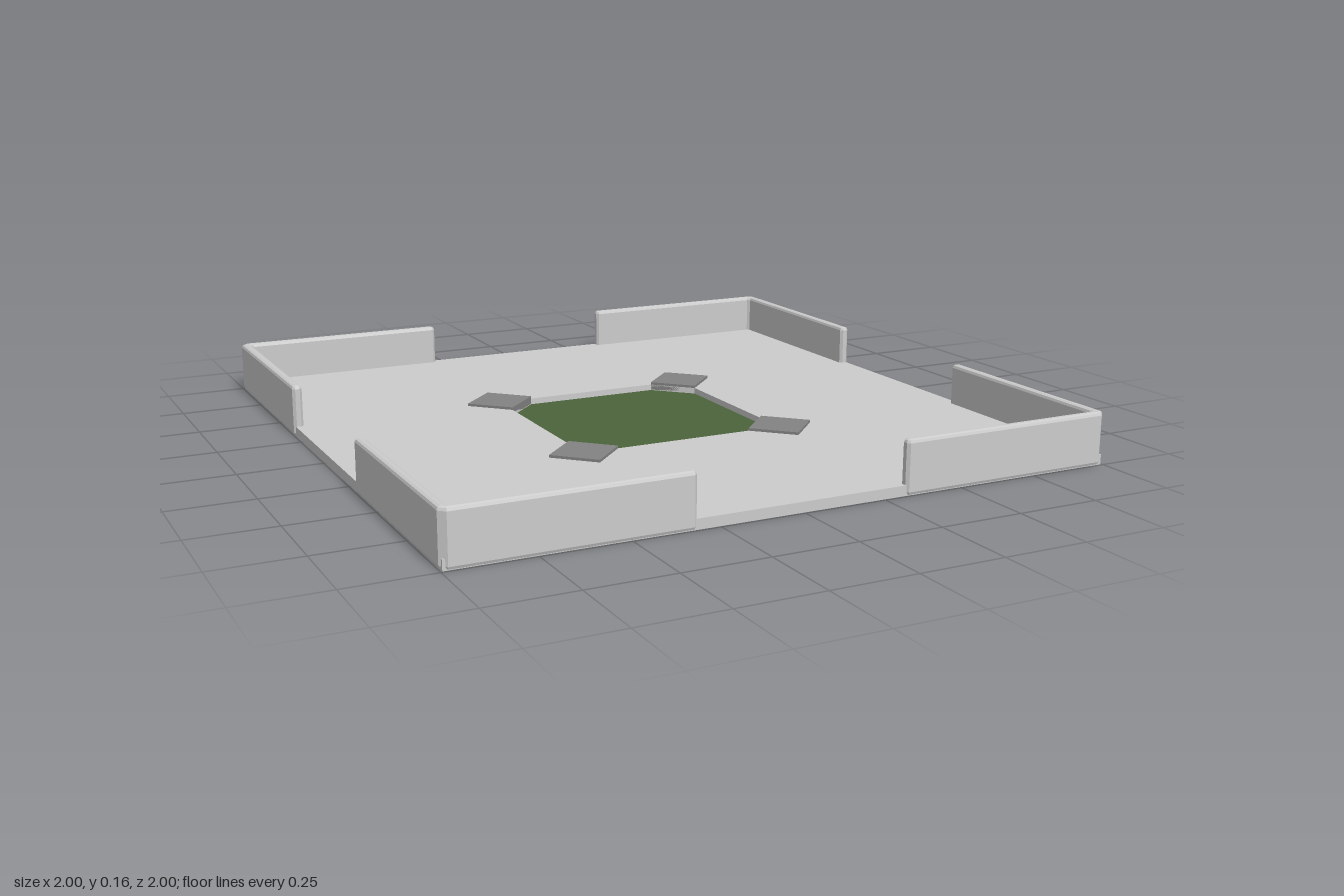
import * as THREE from 'three';

const grey = new THREE.MeshStandardMaterial({ color: 0xcccccc, flatShading: true });
const darkGrey = new THREE.MeshStandardMaterial({ color: 0x838383, flatShading: true });
const green = new THREE.MeshStandardMaterial({ color: 0x4b643c, flatShading: true });

const EDGE = 0.995;   // half width of the floor
const OUT = 0.327;    // half width of the central octagon
const CUT = 0.218;    // where the octagon's corner cuts begin

const polygon = (pts) => new THREE.Shape(pts.map(([x, y]) => new THREE.Vector2(x, y)));

// Extrudes a plan outline upwards between two heights
function slab(shape, bottom, top, bevel = 0) {
  const geometry = new THREE.ExtrudeGeometry(shape, {
    depth: top - bottom - 2 * bevel,
    bevelEnabled: bevel > 0, bevelSize: bevel, bevelThickness: bevel,
    bevelOffset: -bevel, bevelSegments: 2,
  });
  geometry.rotateX(-Math.PI / 2);
  geometry.translate(0, bottom + bevel, 0);
  return geometry;
}

export function createModel() {
  const model = new THREE.Group();
  model.name = 'walledTile';
  const add = (name, geometry, material, parent = model) => {
    const mesh = new THREE.Mesh(geometry, material);
    mesh.name = name;
    parent.add(mesh);
    return mesh;
  };

  const octagon = [
    [OUT, -CUT], [OUT, CUT], [CUT, OUT], [-CUT, OUT],
    [-OUT, CUT], [-OUT, -CUT], [-CUT, -OUT], [CUT, -OUT],
  ];

  // Floor: solid underside and an upper layer with the octagonal recess
  const square = () => polygon([[-EDGE, -EDGE], [EDGE, -EDGE], [EDGE, EDGE], [-EDGE, EDGE]]);
  add('floorUnderside', slab(square(), 0, 0.008), grey);
  const floor = square();
  floor.holes.push(new THREE.Path(polygon(octagon).getPoints().reverse()));
  add('floor', slab(floor, 0.008, 0.03), grey);

  // Green panel sunk into the recess
  add('recessedPanel', slab(polygon(octagon), 0.004, 0.011), green);

  // Plan of one L-shaped corner wall with chamfered corners
  const a = 0.318, o = 1, i = 0.97, c = 0.008, k = 0.018;
  const wall = slab(polygon([
    [a, i + c], [a + c, i], [i - c, i], [i, i - c], [i, a + c], [i + c, a],
    [o - c, a], [o, a + c], [o, o - k], [o - k, o], [a + c, o], [a, o - c],
  ]), 0, 0.157, 0.01);
  const side = (OUT - CUT) * Math.SQRT2;
  const pad = new THREE.BoxGeometry(side, 0.025, side);
  pad.rotateY(Math.PI / 4);
  pad.translate(OUT, 0.0255, -OUT);

  // A wall and a diagonal pad at each of the four corners
  for (let n = 0; n < 4; n++) {
    const corner = new THREE.Group();
    corner.name = 'corner' + (n + 1);
    corner.rotation.y = n * Math.PI / 2;
    add('cornerWall', wall, grey, corner);
    add('cornerPad', pad, darkGrey, corner);
    model.add(corner);
  }
  return model;
}
